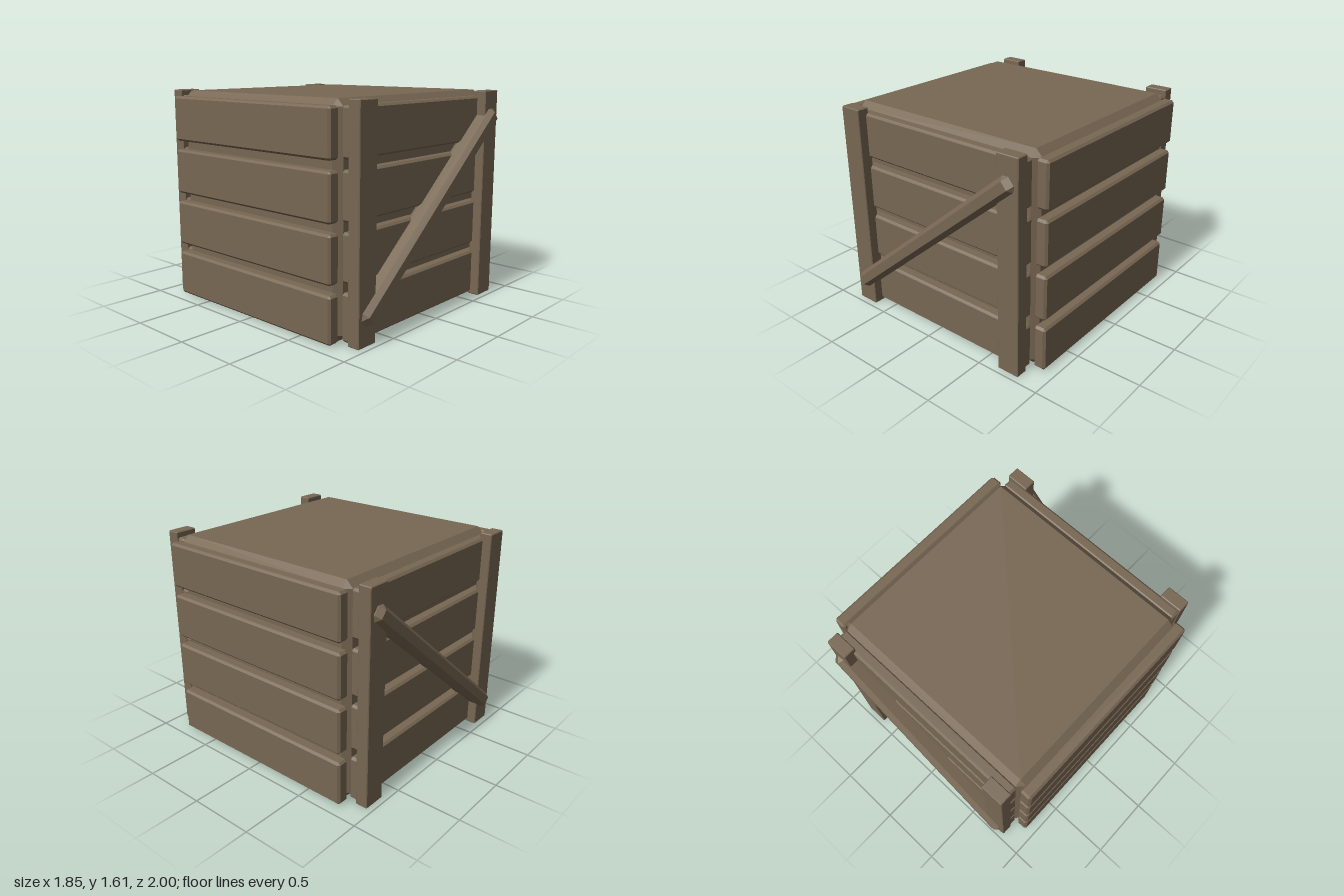
import * as THREE from 'three';
import { ConvexGeometry } from 'three/addons/geometries/ConvexGeometry.js';

// Box with flat-cut edges; c gives the cut along each axis
function chamferedBox(w, h, d, [cx, cy, cz]) {
  const points = [];
  for (const sx of [-1, 1]) for (const sy of [-1, 1]) for (const sz of [-1, 1]) {
    const x = w / 2, y = h / 2, z = d / 2;
    points.push(
      new THREE.Vector3(sx * x, sy * (y - cy), sz * (z - cz)),
      new THREE.Vector3(sx * (x - cx), sy * y, sz * (z - cz)),
      new THREE.Vector3(sx * (x - cx), sy * (y - cy), sz * z)
    );
  }
  return new ConvexGeometry(points);
}

export function createModel() {
  const crate = new THREE.Group();
  crate.name = 'crate';
  const wood = new THREE.MeshStandardMaterial({ color: 0x786753 });
  wood.name = 'brown wood';

  function add(name, geometry, x, y, z) {
    const mesh = new THREE.Mesh(geometry, wood);
    mesh.name = name;
    mesh.position.set(x, y, z);
    crate.add(mesh);
    return mesh;
  }

  // Solid core
  add('core', chamferedBox(1.685, 1.607, 1.61, [0.05, 0.05, 0.05]), 0, 0.808, 0);

  // Four rows of planks around the core
  const sidePlank = chamferedBox(0.095, 0.338, 1.61, [0.016, 0.016, 0.016]);
  const endPlank = chamferedBox(1.61, 0.338, 0.09, [0.016, 0.016, 0.016]);
  for (let row = 0; row < 4; row++) {
    const y = 0.187 + row * 0.405;
    for (const s of [-1, 1]) {
      add(s > 0 ? 'leftPlank' : 'rightPlank', sidePlank, s * 0.876, y, 0);
      add(s > 0 ? 'frontPlank' : 'backPlank', endPlank, 0, y, s * 0.842);
    }
  }

  // Upright posts and slanted braces on front and back
  const post = chamferedBox(0.175, 1.61, 0.095, [0.006, 0.006, 0.006]);
  const brace = chamferedBox(1.99, 0.126, 0.17, [0.038, 0.03, 0.038]);
  for (const s of [-1, 1]) {
    const end = s > 0 ? 'front' : 'back';
    for (const side of [-1, 1]) {
      add(end + (side > 0 ? 'LeftPost' : 'RightPost'), post, side * 0.726, 0.808, s * 0.91);
    }
    add(end + 'Brace', brace, 0, 0.81, s * 0.915).rotation.z = 0.698;
  }
  return crate;
}
